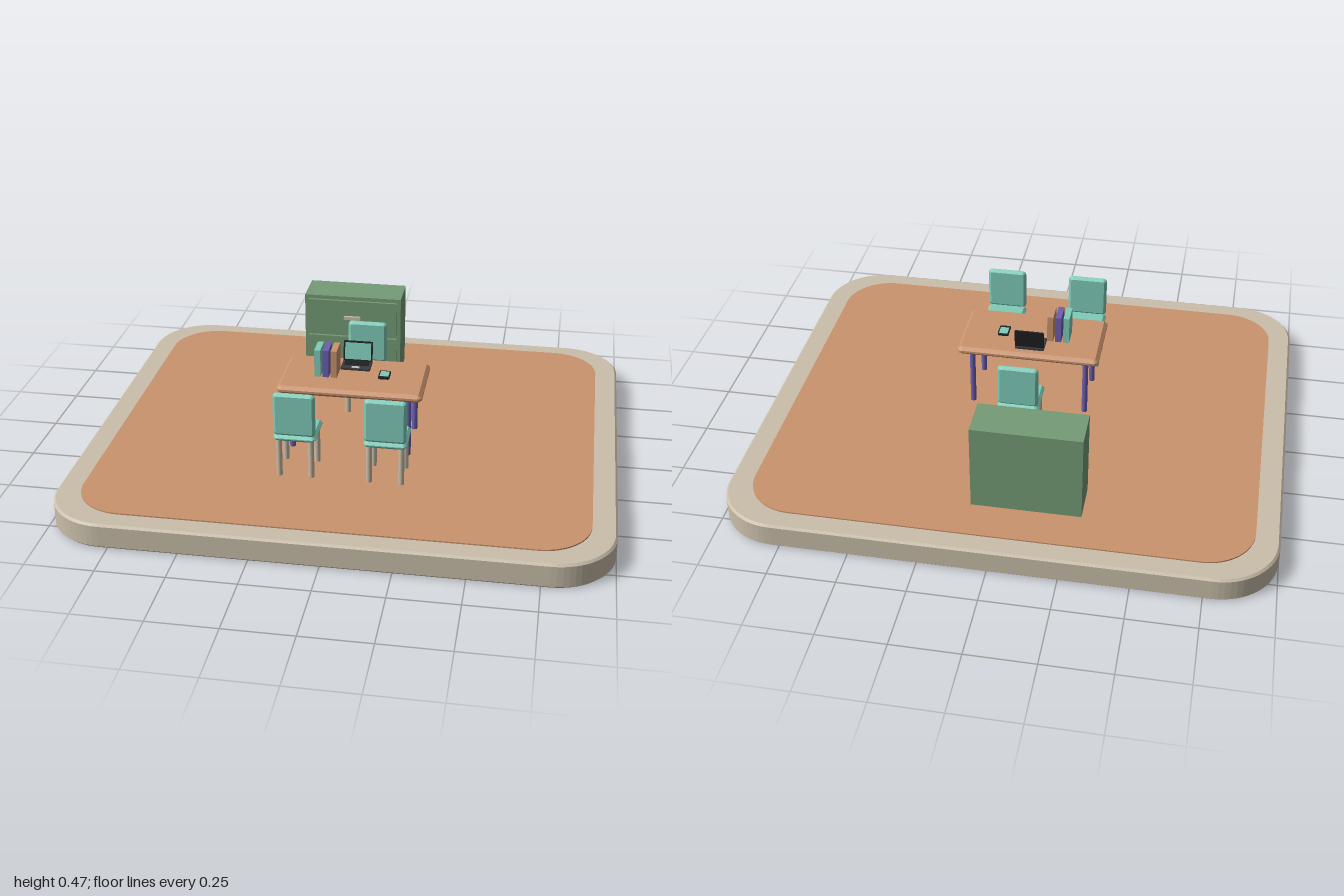
import * as THREE from 'three';

const mat = (name, color) => {
  const m = new THREE.MeshStandardMaterial({ color });
  m.name = name;
  return m;
};

// Rounded plate lying in XY with bevelled rims, thickness t along z, centred.
function plate(w, h, t, r, bevel = 0, bevelT = bevel) {
  const x = w / 2 - bevel, y = h / 2 - bevel, q = Math.max(r - bevel, 0.001);
  const s = new THREE.Shape();
  s.moveTo(-x + q, -y);
  s.lineTo(x - q, -y);
  s.absarc(x - q, -y + q, q, -Math.PI / 2, 0);
  s.lineTo(x, y - q);
  s.absarc(x - q, y - q, q, 0, Math.PI / 2);
  s.lineTo(-x + q, y);
  s.absarc(-x + q, y - q, q, Math.PI / 2, Math.PI);
  s.lineTo(-x, -y + q);
  s.absarc(-x + q, -y + q, q, Math.PI, Math.PI * 1.5);
  const g = new THREE.ExtrudeGeometry(s, {
    depth: t - 2 * bevelT, bevelEnabled: bevel > 0, bevelSize: bevel,
    bevelThickness: bevelT, bevelSegments: 1, curveSegments: r > 0.1 ? 8 : 2,
  });
  return g.translate(0, 0, -t / 2 + bevelT);
}
const slab = (w, d, t, r, bevel, bevelT) => plate(w, d, t, r, bevel, bevelT).rotateX(-Math.PI / 2);
const box = (w, h, d) => new THREE.BoxGeometry(w, h, d);

function add(parent, name, geometry, material, x = 0, y = 0, z = 0) {
  const m = new THREE.Mesh(geometry, material);
  m.name = name;
  m.position.set(x, y, z);
  parent.add(m);
  return m;
}
function group(parent, name, x = 0, y = 0, z = 0) {
  const g = new THREE.Group();
  g.name = name;
  g.position.set(x, y, z);
  parent.add(g);
  return g;
}

export function createModel() {
  const beige = mat('beige', 0xcabfaa);
  const wood = mat('warm wood', 0xcb936d);
  const teal = mat('teal', 0x7fcdba);
  const purple = mat('purple', 0x6c5fb0);
  const green = mat('green', 0x759c76);
  const dark = mat('charcoal', 0x3a3c3e);
  const black = mat('black', 0x222326);
  const grey = mat('light grey', 0xc4c6c6);

  const model = new THREE.Group();
  model.name = 'officeRoom';

  // Platform and floor inlay
  add(model, 'platform', slab(2, 1.725, 0.095, 0.22, 0.008), beige, 0, 0.0475, 0);
  add(model, 'floor', slab(1.825, 1.57, 0.01, 0.18), wood, 0, 0.095, 0);

  const legs = (parent, dx, dz, h, r, material) => {
    for (const sx of [-1, 1]) for (const sz of [-1, 1]) {
      add(parent, 'leg', new THREE.CylinderGeometry(r, r, h, 12), material, sx * dx, h / 2, sz * dz);
    }
  };

  // Table
  const table = group(model, 'table', 0, 0.1, 0.1);
  add(table, 'tableTop', slab(0.545, 0.295, 0.032, 0.018, 0.013, 0.012), wood, 0, 0.25, 0);
  legs(table, 0.22, 0.105, 0.236, 0.011, purple);

  // Chairs, backrest on the +z side before turning
  const chairs = [[-0.165, 0.367, 0], [0.165, 0.367, 0], [0, -0.167, Math.PI]];
  for (const [x, z, turn] of chairs) {
    const chair = group(model, 'chair', x, 0.1, z);
    chair.rotation.y = turn;
    add(chair, 'seat', slab(0.156, 0.158, 0.024, 0.016, 0.01), teal, 0, 0.157, 0);
    add(chair, 'backrest', plate(0.154, 0.168, 0.024, 0.016, 0.01), teal, 0, 0.253, 0.067);
    legs(chair, 0.059, 0.061, 0.148, 0.011, beige);
  }

  // Cabinet with two drawers
  const cabinet = group(model, 'cabinet', -0.1, 0.1, -0.552);
  add(cabinet, 'cabinetBody', box(0.4, 0.336, 0.156), green, 0, 0.168, 0);
  for (const [y, h] of [[0.248, 0.145], [0.088, 0.145]]) {
    add(cabinet, 'drawerFront', box(0.37, h, 0.012), green, 0, y, 0.083);
    add(cabinet, 'drawerHandle', plate(0.07, 0.014, 0.012, 0.006), beige, 0, y, 0.094);
  }

  // Laptop with tilted screen
  const laptop = group(model, 'laptop', -0.003, 0.366, 0.027);
  add(laptop, 'laptopBase', slab(0.112, 0.08, 0.008, 0.005), dark, 0, 0.004, 0);
  add(laptop, 'trackpad', box(0.03, 0.002, 0.014), grey, 0, 0.0085, 0.028);
  for (let i = 0; i < 4; i++) {
    add(laptop, 'keyRow', box(0.094, 0.002, 0.007), black, 0, 0.0085, -0.02 + i * 0.0095);
  }
  const lid = group(laptop, 'laptopLid', 0, 0.006, -0.03);
  lid.rotation.x = -0.17;
  add(lid, 'lidShell', plate(0.112, 0.08, 0.006, 0.005), black, 0, 0.04, 0);
  add(lid, 'screen', box(0.1, 0.066, 0.002), teal, 0, 0.041, 0.003);

  // Phone
  const phone = group(model, 'phone', 0.114, 0.366, 0.095);
  add(phone, 'phoneBody', slab(0.042, 0.062, 0.007, 0.006), black, 0, 0.0035, 0);
  add(phone, 'phoneScreen', box(0.033, 0.002, 0.042), teal, 0, 0.007, -0.003);

  // Upright books
  [teal, purple, wood].forEach((cover, i) => {
    add(model, 'book', box(0.023, 0.108, 0.082), cover, -0.134 + i * 0.031, 0.42, 0.1);
  });

  return model;
}
